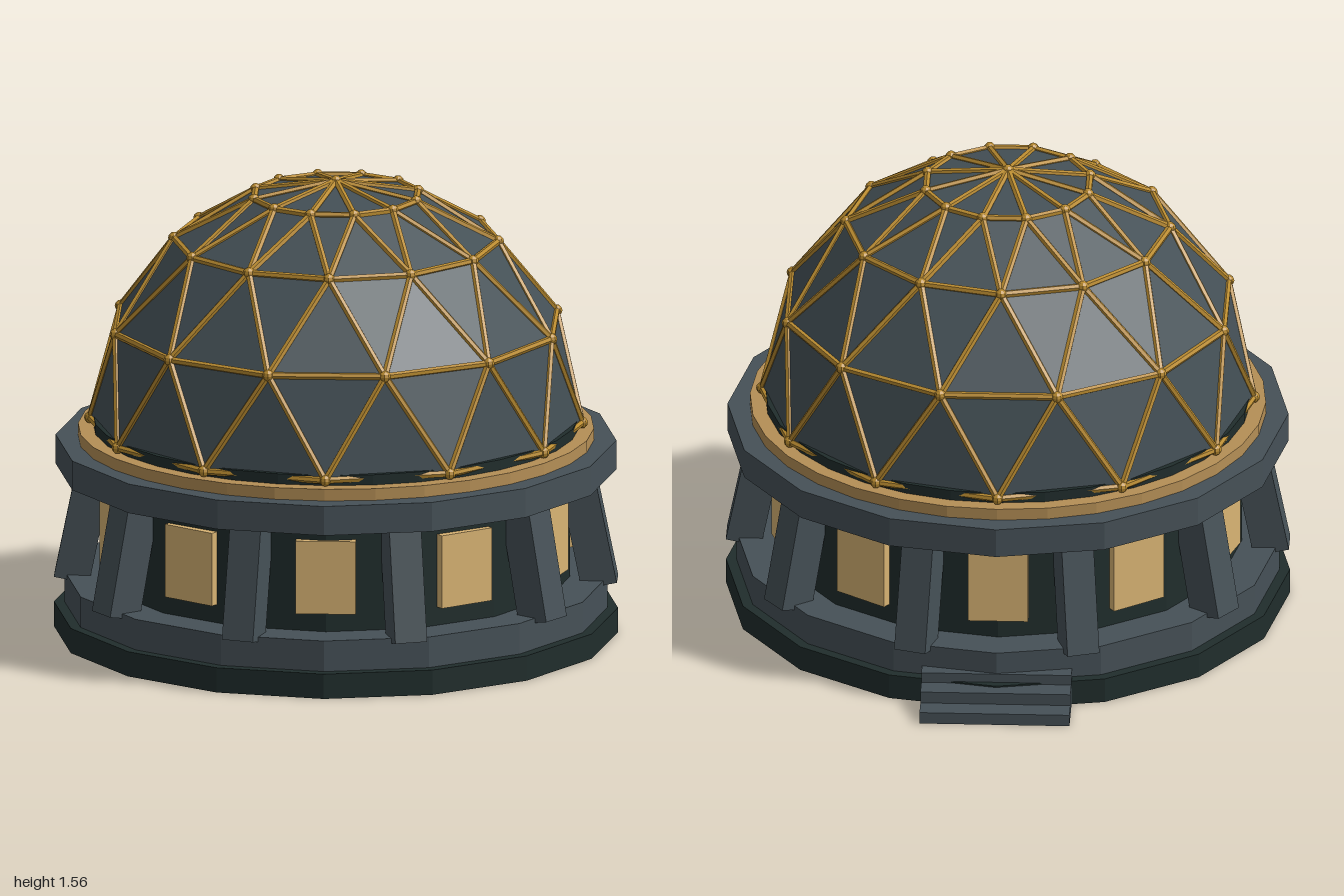
import * as THREE from 'three';

const mat = (name, color) => new THREE.MeshStandardMaterial({ name, color, flatShading: true });

export function createModel() {
  const stone = mat('slate stone', 0x465157);
  const glass = mat('dome panels', 0x445056);
  const dark = mat('dark stone', 0x202d2c);
  const gold = mat('gold', 0xb98b30);
  const bronze = mat('pale bronze', 0xb58f56);
  const lit = mat('window glow', 0xd9b474);

  const model = new THREE.Group();
  model.name = 'observatory';
  const hall = new THREE.Group();
  hall.name = 'roundHall';
  hall.position.z = 0.06;
  model.add(hall);

  const add = (parent, name, geo, material, x = 0, y = 0, z = 0) => {
    const m = new THREE.Mesh(geo, material);
    m.name = name;
    m.position.set(x, y, z);
    parent.add(m);
    return m;
  };
  const tier = (name, r, y0, y1, material, sides = 16) =>
    add(hall, name, new THREE.CylinderGeometry(r, r, y1 - y0, sides), material, 0, (y0 + y1) / 2, 0);

  // Stacked round tiers
  tier('foundation', 0.94, 0, 0.085, dark);
  tier('plinth', 0.905, 0.085, 0.19, stone);
  tier('drum', 0.78, 0.19, 0.56, dark);
  tier('cornice', 0.935, 0.56, 0.66, stone);
  tier('domeCurb', 0.81, 0.66, 0.735, dark, 32);

  // Bronze ring around the foot of the dome
  const ringProfile = [[0.81, 0.66], [0.86, 0.66], [0.86, 0.7], [0.81, 0.7]]
    .map(([r, y]) => new THREE.Vector2(r, y));
  add(hall, 'bronzeRing', new THREE.LatheGeometry(ringProfile, 32), bronze);

  // Ten windows with leaning buttresses between them
  const windowGeo = new THREE.BoxGeometry(0.2, 0.25, 0.06);
  const buttressGeo = new THREE.BoxGeometry(0.11, 0.4, 0.12);
  for (let i = 0; i < 10; i++) {
    const bay = new THREE.Group();
    bay.name = 'bay';
    bay.rotation.y = (i * Math.PI) / 5;
    hall.add(bay);
    add(bay, 'window', windowGeo, lit, 0, 0.378, 0.76);

    const pier = new THREE.Group();
    pier.name = 'pier';
    pier.rotation.y = ((i + 0.5) * Math.PI) / 5;
    hall.add(pier);
    add(pier, 'buttress', buttressGeo, stone, 0, 0.368, 0.84).rotation.x = -0.2;
  }

  // Entrance steps at the back
  [[0, 0.04, -1], [0.04, 0.08, -0.925], [0.08, 0.115, -0.85]].forEach(([y0, y1, zBack]) => {
    const depth = -0.78 - zBack;
    add(model, 'step', new THREE.BoxGeometry(0.5, y1 - y0, depth), stone,
      0, (y0 + y1) / 2, zBack + depth / 2);
  });

  // Dome nodes: four rings of twelve, each turned half a step, plus the apex
  const N = 12;
  const rings = [[0.82, 0.72], [0.752, 1.055], [0.54, 1.34], [0.28, 1.492]].map(([r, y], k) =>
    Array.from({ length: N }, (_, i) => {
      const a = ((i + k / 2) * Math.PI * 2) / N;
      return new THREE.Vector3(r * Math.sin(a), y, r * Math.cos(a));
    }));
  const apex = new THREE.Vector3(0, 1.54, 0);

  const panels = [];
  const struts = [];
  rings.forEach((ring, k) => {
    const upper = rings[k + 1];
    for (let i = 0; i < N; i++) {
      const j = (i + 1) % N;
      struts.push([ring[i], ring[j]]);
      if (upper) {
        panels.push(ring[i], ring[j], upper[i], ring[j], upper[j], upper[i]);
        struts.push([ring[i], upper[i]], [ring[j], upper[i]]);
      } else {
        panels.push(ring[i], ring[j], apex);
        struts.push([ring[i], apex]);
      }
    }
  });

  // Faceted dome shell
  const shell = new THREE.BufferGeometry().setFromPoints(panels);
  shell.computeVertexNormals();
  add(hall, 'domeShell', shell, glass);

  // Gold lattice over the panel edges
  const lattice = new THREE.Group();
  lattice.name = 'lattice';
  hall.add(lattice);
  const up = new THREE.Vector3(0, 1, 0);
  const strutGeo = new THREE.CylinderGeometry(0.012, 0.012, 1, 6);
  for (const [a, b] of struts) {
    const dir = b.clone().sub(a);
    const m = add(lattice, 'strut', strutGeo, gold);
    m.position.copy(a).add(b).multiplyScalar(0.5);
    m.scale.y = dir.length();
    m.quaternion.setFromUnitVectors(up, dir.normalize());
  }
  const nodeGeo = new THREE.SphereGeometry(0.02, 8, 6);
  for (const p of [...rings.flat(), apex]) add(lattice, 'node', nodeGeo, gold, p.x, p.y, p.z);

  return model;
}
